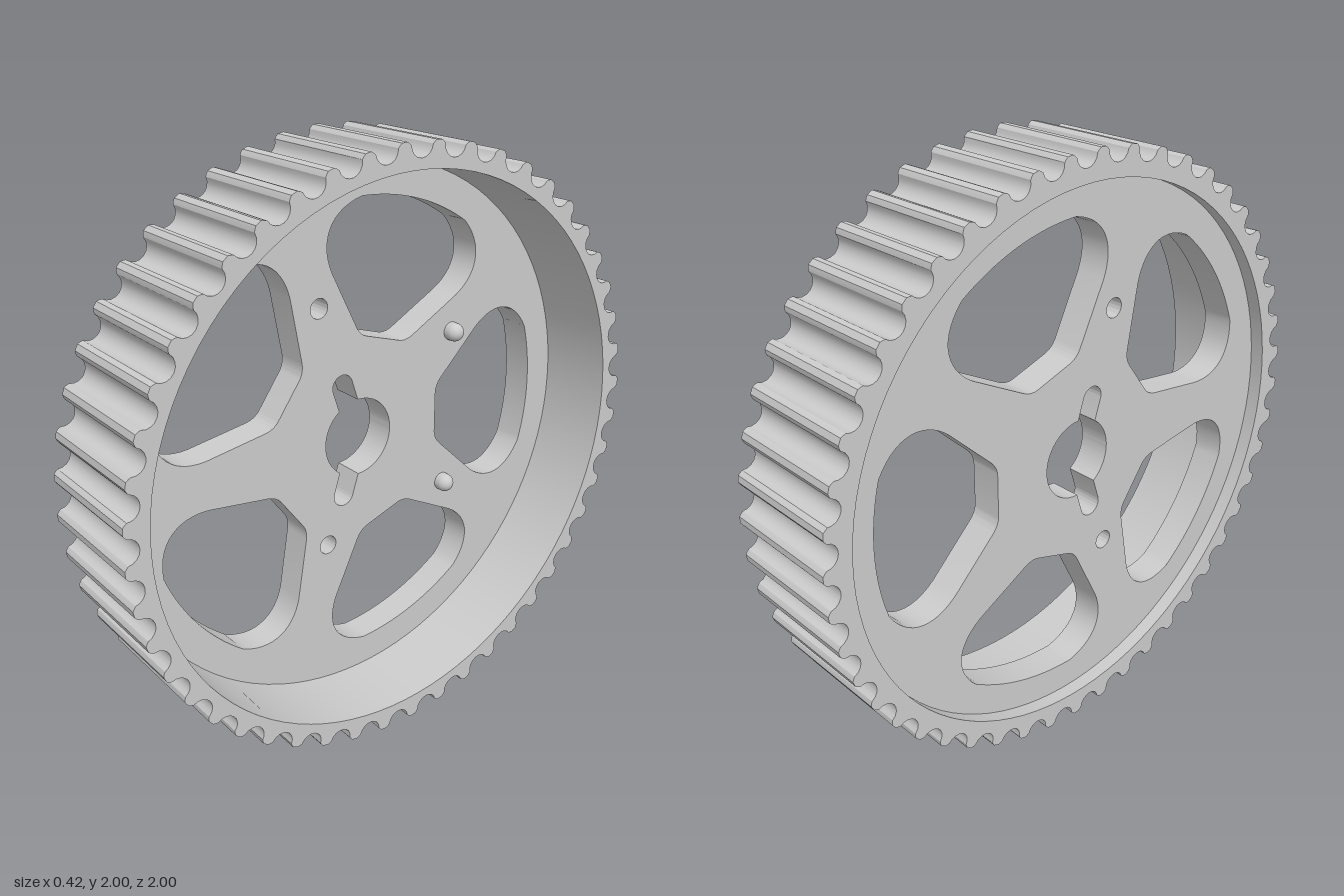
import * as THREE from 'three';
import { toCreasedNormals } from 'three/addons/utils/BufferGeometryUtils.js';

const TEETH = 48, HALF_WIDTH = 0.21;
const WEB_BACK = -0.16, WEB_FRONT = -0.05;
const polar = (r, a) => new THREE.Vector2(r * Math.cos(a), r * Math.sin(a));

function extrude(shape, from, to) {
  const geo = new THREE.ExtrudeGeometry(shape, { depth: to - from, bevelEnabled: false, curveSegments: 48 });
  return geo.translate(0, 0, from);
}

function circlePath(x, y, r) {
  return new THREE.Path().absarc(x, y, r, 0, Math.PI * 2, false);
}

// Toothed belt rim: round grooves between narrow lands, with a tapered inside wall
function rimGeometry() {
  const pts = [], pitch = Math.PI * 2 / TEETH, half = 0.041;
  for (let i = 0; i < TEETH; i++) {
    const groove = Math.PI / 2 + (i + 0.5) * pitch + 0.035;
    // slightly rounded shoulder, then the round groove floor
    pts.push(polar(0.994, groove - half - 0.006));
    for (let k = 0; k <= 8; k++) {
      const t = Math.PI * k / 8;
      pts.push(polar(0.988 - 0.038 * Math.sin(t), groove - half * Math.cos(t)));
    }
    pts.push(polar(0.994, groove + half + 0.006));
    pts.push(polar(1, groove + half + 0.014), polar(1, groove + pitch - half - 0.014));
  }
  const shape = new THREE.Shape(pts);
  shape.holes.push(circlePath(0, 0, 0.917));
  const geo = extrude(shape, -HALF_WIDTH, HALF_WIDTH);
  const p = geo.attributes.position;
  for (let i = 0; i < p.count; i++) {
    if (Math.hypot(p.getX(i), p.getY(i)) < 0.93 && p.getZ(i) < 0) {
      p.setXY(i, p.getX(i) * 0.987, p.getY(i) * 0.987);
    }
  }
  return toCreasedNormals(geo, 0.5);
}

// One of the five lightening windows, turned about the hub
function windowPath(angle) {
  const a = Math.atan2(0.228, 0.767);
  const path = new THREE.Path();
  path.moveTo(0.34, -0.07);
  path.lineTo(0.34, 0.07);
  path.quadraticCurveTo(0.34, 0.1, 0.365, 0.125);
  path.lineTo(0.52, 0.275);
  path.bezierCurveTo(0.6, 0.345, 0.7, 0.345, 0.767, 0.228);
  path.absarc(0, 0, 0.8, a, -a, true);
  path.bezierCurveTo(0.7, -0.345, 0.6, -0.345, 0.52, -0.275);
  path.lineTo(0.365, -0.125);
  path.quadraticCurveTo(0.34, -0.1, 0.34, -0.07);
  const origin = new THREE.Vector2();
  const pts = path.getPoints(14).map(v => v.rotateAround(origin, angle));
  pts.pop();
  return new THREE.Path(pts);
}

// Round bore with two rounded radial keyways
function borePath() {
  const r = 0.135, w = 0.04, gap = Math.asin(w / r);
  const slots = [108, 252].map(THREE.MathUtils.degToRad);
  const path = new THREE.Path();
  slots.forEach((a, i) => {
    const c = polar(0.205, a);
    path.absarc(c.x, c.y, w, a - Math.PI / 2, a + Math.PI / 2, false);
    const next = i === 0 ? slots[1] : slots[0] + Math.PI * 2;
    path.absarc(0, 0, r, a + gap, next - gap, false);
  });
  return path;
}

function webGeometry() {
  const shape = new THREE.Shape().absarc(0, 0, 0.914, 0, Math.PI * 2, false);
  for (let i = 0; i < 5; i++) shape.holes.push(windowPath(i * Math.PI * 2 / 5));
  shape.holes.push(borePath());
  shape.holes.push(circlePath(-0.152, 0.475, 0.033), circlePath(-0.132, -0.365, 0.033));
  return toCreasedNormals(extrude(shape, WEB_BACK, WEB_FRONT), 0.5);
}

export function createModel() {
  const material = new THREE.MeshStandardMaterial({ color: 0xcccccc });
  const wheel = new THREE.Group();
  wheel.name = 'toothedPulley';
  const add = (name, geometry) => {
    const mesh = new THREE.Mesh(geometry, material);
    mesh.name = name;
    wheel.add(mesh);
    return mesh;
  };

  add('toothedRim', rimGeometry());
  add('spokedWeb', webGeometry());

  // Domed locating pins on the deep side of the web
  [[0.405, 0.285], [0.38, -0.28]].forEach(([x, y], i) => {
    const pin = add('locatingPin' + (i + 1), new THREE.CapsuleGeometry(0.032, 0.05, 8, 24));
    pin.rotation.x = Math.PI / 2;
    pin.position.set(x, y, WEB_FRONT - 0.007);
  });

  // Lay the axle along x and stand the wheel on the ground
  wheel.rotation.y = Math.PI / 2;
  wheel.position.y = 1;
  const model = new THREE.Group();
  model.name = 'pulley';
  model.add(wheel);
  return model;
}
